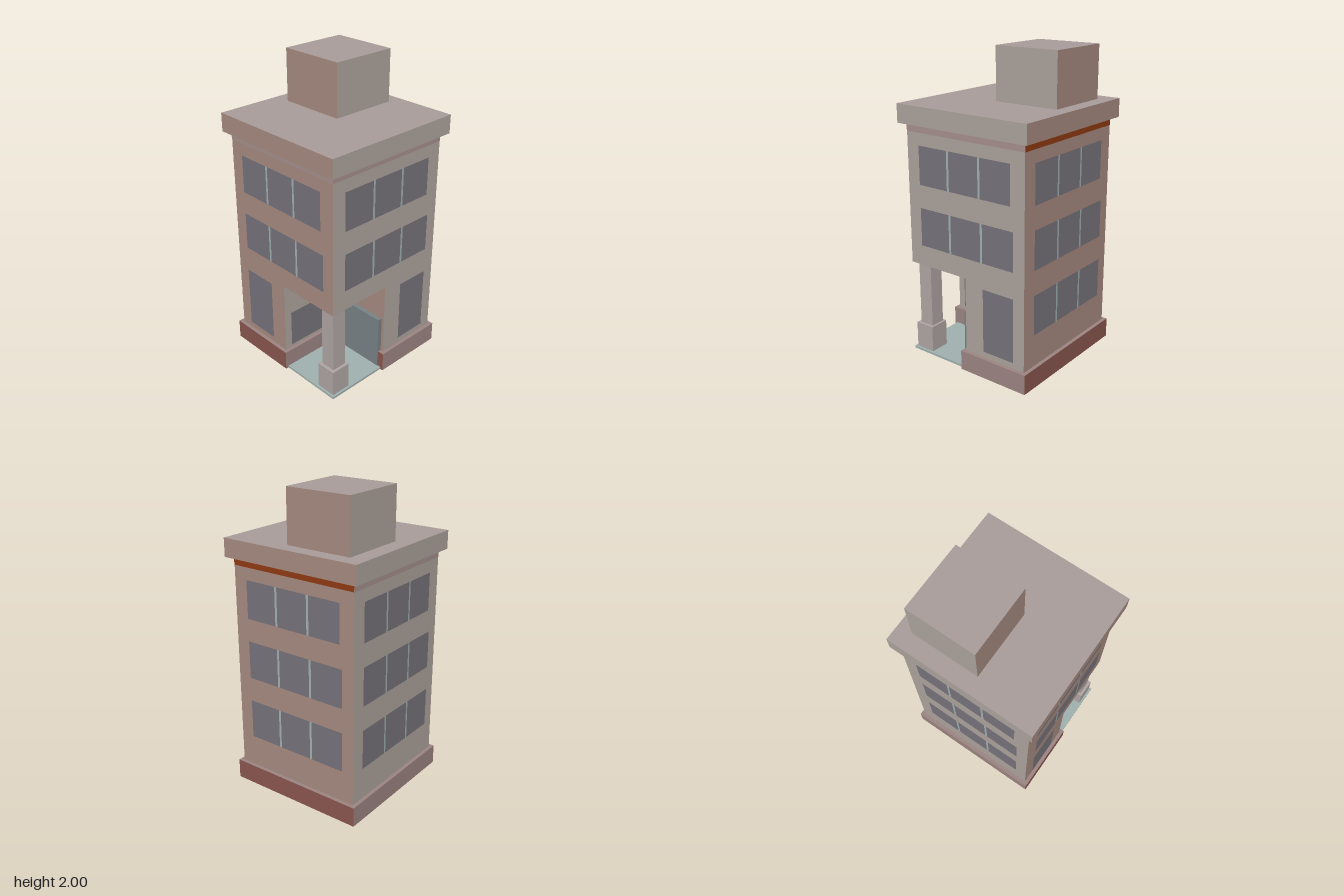
import * as THREE from 'three';

const mat = (color) => new THREE.MeshStandardMaterial({ color, side: THREE.DoubleSide });
const wallMat = mat(0xaca29c), sideMat = mat(0xa58a7f), roofMat = mat(0xa89c99);
const baseMat = mat(0x9c8481), baseSideMat = mat(0x89564e), bandMat = mat(0x8f3a12);
const pinkMat = mat(0xa58f8d), glassMat = mat(0x76727a), frameMat = mat(0x9fb0ae);
const tealMat = mat(0x788285), pillarMat = mat(0xafa5a3);

function add(parent, name, geometry, material) {
  const mesh = new THREE.Mesh(geometry, material);
  mesh.name = name;
  parent.add(mesh);
  return mesh;
}

// Box given by its limits on each axis
function box(parent, name, [x0, x1], [y0, y1], [z0, z1], material) {
  const mesh = add(parent, name, new THREE.BoxGeometry(x1 - x0, y1 - y0, z1 - z0), material);
  mesh.position.set((x0 + x1) / 2, (y0 + y1) / 2, (z0 + z1) / 2);
  return mesh;
}

// Upright shell along a closed outline of [x, z] points, outward facing
function ring(parent, name, points, y0, y1, frontMat, xMat) {
  const group = new THREE.Group();
  group.name = name;
  points.forEach(([ax, az], i) => {
    const [bx, bz] = points[(i + 1) % points.length];
    const length = Math.hypot(bx - ax, bz - az);
    const mesh = add(group, name + 'Side', new THREE.PlaneGeometry(length, y1 - y0), ax === bx ? xMat : frontMat);
    mesh.position.set((ax + bx) / 2, (y0 + y1) / 2, (az + bz) / 2);
    mesh.rotation.y = Math.atan2(az - bz, bx - ax);
  });
  parent.add(group);
}

// L-shaped outline with the front corner at -x cut away; e widens it all round
const lOutline = (e) => {
  const h = 0.45 + e;
  return [[-e, h], [h, h], [h, -h], [-h, -h], [-h, e], [-e, e]];
};
const square = (h) => [[-h, h], [h, h], [h, -h], [-h, -h]];

// Upright glass panel on a facade, u measured rightwards as seen from outside
function panel(parent, name, u0, u1, y0, y1, z, material) {
  const mesh = add(parent, name, new THREE.PlaneGeometry(u1 - u0, y1 - y0), material);
  mesh.position.set((u0 + u1) / 2, (y0 + y1) / 2, z);
}

function windowRow(parent, u0, u1, y0, y1) {
  const bar = 0.016, pane = (u1 - u0 - 2 * bar) / 3;
  for (let i = 0; i < 3; i++) {
    const u = u0 + i * (pane + bar);
    panel(parent, 'windowPane', u, u + pane, y0, y1, 0.453, glassMat);
    if (i < 2) panel(parent, 'windowBar', u + pane, u + pane + bar, y0, y1, 0.453, frameMat);
  }
}

export function createModel() {
  const model = new THREE.Group();
  model.name = 'building';

  // Base with a ledge running round the ground floor
  ring(model, 'base', lOutline(0.025), 0, 0.13, baseMat, baseSideMat);
  const flat = (pts) => pts.map(([x, z]) => new THREE.Vector2(x, -z));
  const ledge = new THREE.Shape(flat(lOutline(0.025)));
  ledge.holes.push(new THREE.Path(flat(lOutline(0))));
  const ledgeMesh = add(model, 'baseLedge', new THREE.ShapeGeometry(ledge), baseMat);
  ledgeMesh.rotation.x = -Math.PI / 2;
  ledgeMesh.position.y = 0.13;

  // Walls: L-shaped ground floor, full square above
  ring(model, 'groundFloorWall', lOutline(0), 0.13, 0.625, wallMat, sideMat);
  ring(model, 'upperWall', square(0.45), 0.625, 1.54, wallMat, sideMat);
  const soffit = add(model, 'porchCeiling', new THREE.PlaneGeometry(0.45, 0.45), pinkMat);
  soffit.rotation.x = Math.PI / 2;
  soffit.position.set(-0.225, 0.625, 0.225);

  // Facades in order front, +x side, back, -x side
  ['front', 'left', 'back', 'right'].forEach((side, i) => {
    const facade = new THREE.Group();
    facade.name = side + 'Facade';
    facade.rotation.y = i * Math.PI / 2;
    windowRow(facade, -0.355, 0.35, 1.16, 1.41);
    windowRow(facade, -0.355, 0.37, 0.76, 1.01);
    if (i === 1 || i === 2) windowRow(facade, -0.355, 0.37, 0.34, 0.6);
    panel(facade, 'topBand', -0.45, 0.45, 1.49, 1.54, 0.452, i === 1 ? bandMat : pinkMat);
    if (i === 0) panel(facade, 'tallWindow', 0.14, 0.37, 0.17, 0.59, 0.453, glassMat);
    if (i === 3) panel(facade, 'tallWindow', -0.36, -0.12, 0.17, 0.59, 0.453, glassMat);
    model.add(facade);
  });

  // Porch: floor slab, rear window, side door and corner pillar
  box(model, 'porchFloor', [-0.455, -0.02], [0, 0.015], [0.02, 0.455], frameMat);
  panel(model, 'porchWindow', -0.4, -0.06, 0.15, 0.4, 0.003, glassMat);
  box(model, 'porchDoor', [-0.03, 0], [0.01, 0.38], [0.06, 0.43], tealMat);
  box(model, 'pillar', [-0.42, -0.32], [0.19, 0.625], [0.32, 0.42], pillarMat);
  box(model, 'pillarPedestal', [-0.44, -0.305], [0, 0.19], [0.305, 0.44], pillarMat);

  // Roof slab and rooftop block
  const mats = [sideMat, sideMat, roofMat, roofMat, wallMat, wallMat];
  box(model, 'roof', [-0.49, 0.49], [1.54, 1.66], [-0.49, 0.49], mats);
  box(model, 'rooftopBlock', [-0.055, 0.395], [1.66, 2], [-0.38, 0.07], mats);
  return model;
}
